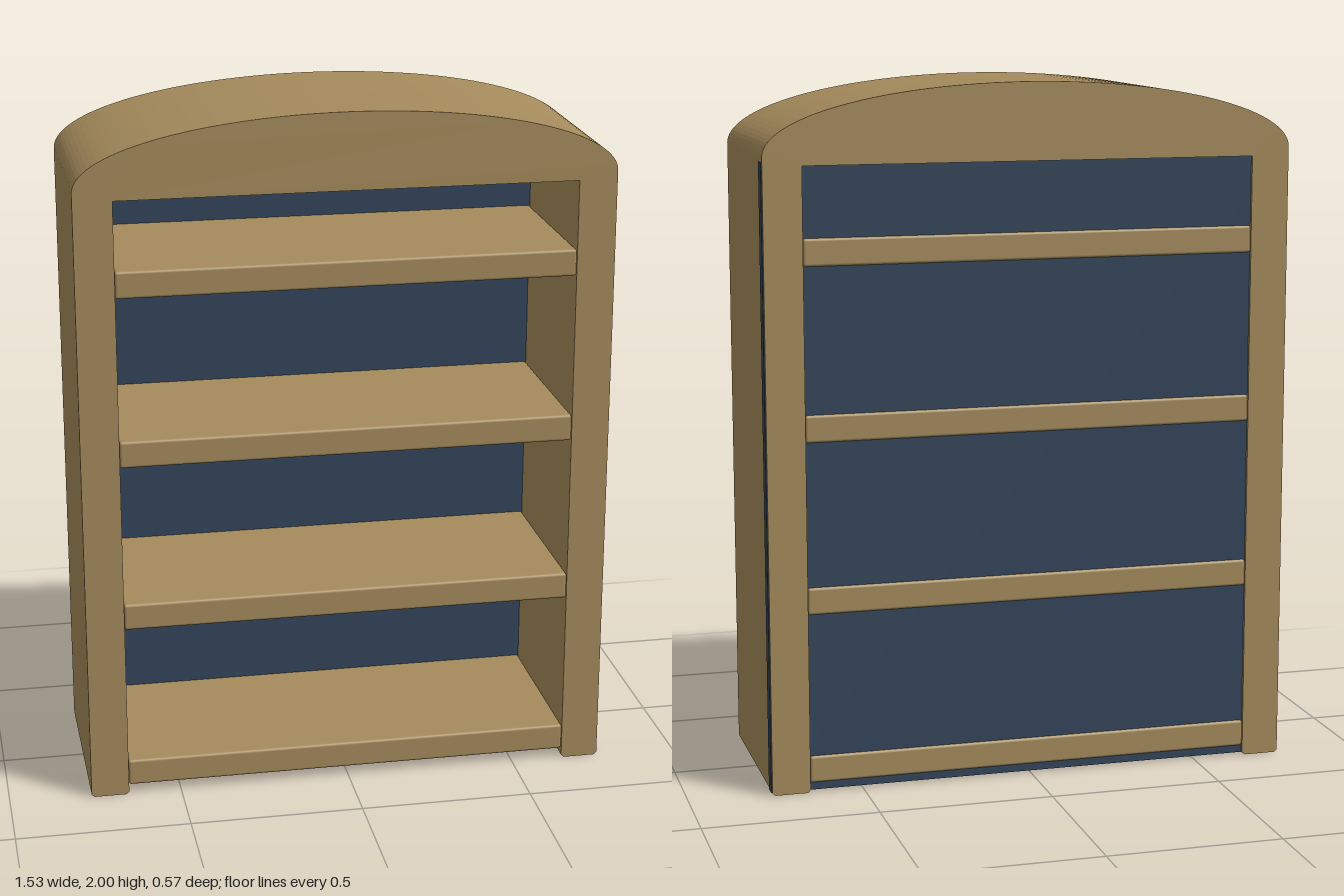
import * as THREE from 'three';
import { RoundedBoxGeometry } from 'three/addons/geometries/RoundedBoxGeometry.js';

export function createModel() {
  const model = new THREE.Group();
  model.name = 'bookcase';

  const wood = new THREE.MeshStandardMaterial({ color: 0xa58b5c });
  wood.name = 'tan wood';
  const navy = new THREE.MeshStandardMaterial({ color: 0x32445a });
  navy.name = 'navy panel';

  const add = (name, geometry, material, x, y, z) => {
    const mesh = new THREE.Mesh(geometry, material);
    mesh.name = name;
    mesh.position.set(x, y, z);
    model.add(mesh);
  };

  const halfW = 0.763, inner = 0.653, depth = 0.57;
  const springY = 1.805, innerTop = 1.78, chamfer = 0.008;

  // Arched frame: two posts joined by an elliptical top, open at the bottom
  const outline = new THREE.Shape();
  outline.moveTo(halfW - chamfer, 0);
  outline.lineTo(halfW, chamfer);
  outline.lineTo(halfW, springY);
  outline.absellipse(0, springY, halfW, 2 - springY, 0, Math.PI, false, 0);
  outline.lineTo(-halfW, chamfer);
  outline.lineTo(-halfW + chamfer, 0);
  outline.lineTo(-inner - chamfer, 0);
  outline.lineTo(-inner, chamfer);
  outline.lineTo(-inner, innerTop);
  outline.lineTo(inner, innerTop);
  outline.lineTo(inner, chamfer);
  outline.lineTo(inner + chamfer, 0);
  outline.closePath();
  const frame = new THREE.ExtrudeGeometry(outline, {
    depth, bevelEnabled: false, curveSegments: 32,
  });
  add('archedFrame', frame, wood, 0, 0, -depth / 2);

  // Shelves with softened edges, running the full depth
  [0.067, 0.558, 1.05, 1.542].forEach((y, i) => {
    const shelf = new RoundedBoxGeometry(inner * 2, 0.078, depth - 0.004, 2, 0.008);
    add(`shelf${i + 1}`, shelf, wood, 0, y, 0);
  });

  // Back panel, let into the posts and showing on the left side
  const left = 0.765, right = -0.755;
  add('backPanel', new THREE.BoxGeometry(left - right, 1.785, 0.038), navy,
    (left + right) / 2, 0.8985, -0.257);

  return model;
}
